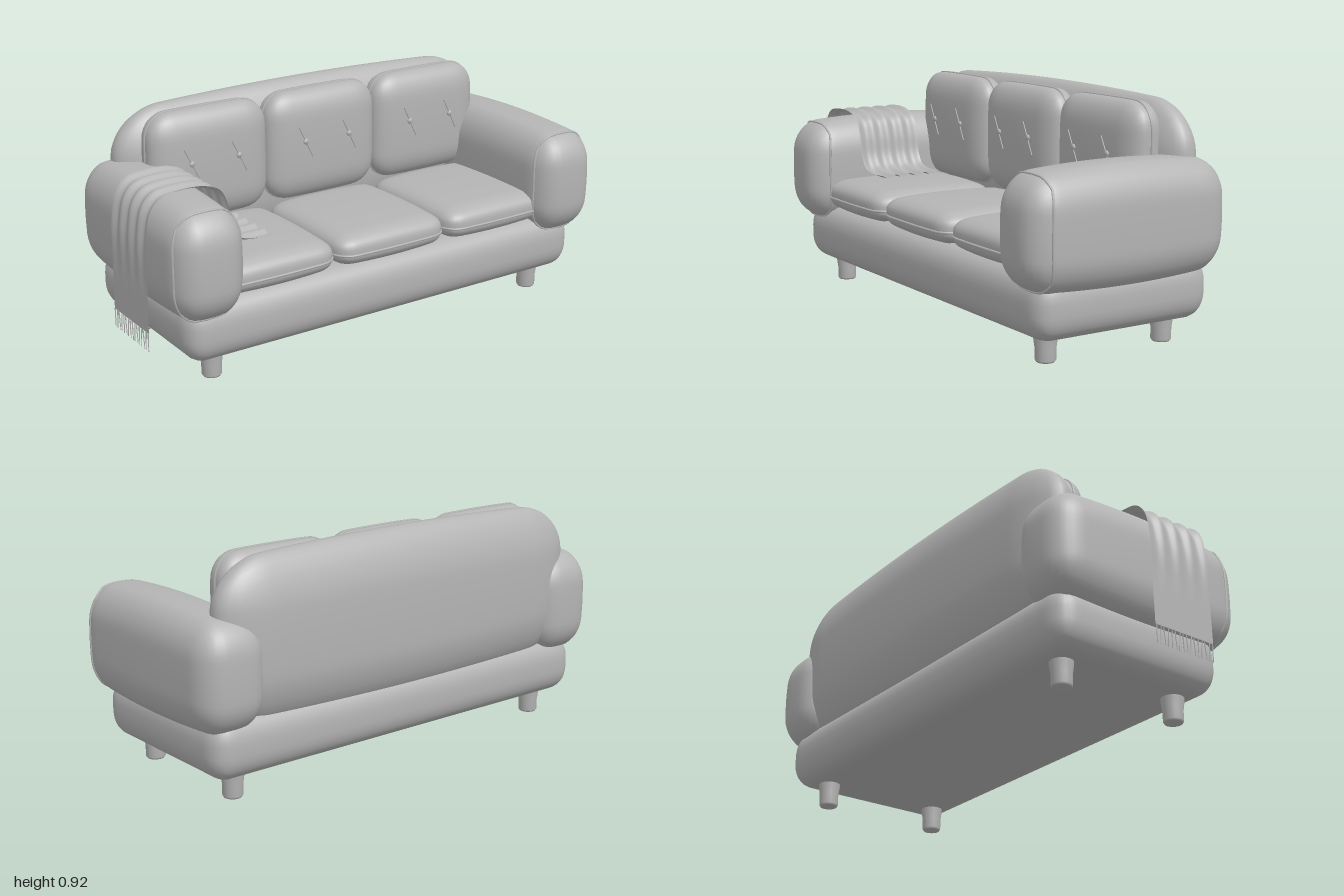
import * as THREE from 'three';
import { mergeVertices } from 'three/addons/utils/BufferGeometryUtils.js';

const V = (x, y, z) => new THREE.Vector3(x, y, z);

// Rule that turns a point on a box into a point on a rounded, puffed pillow.
// half = half sizes, radius = corner radius per axis, bulge = how much each axis thins outwards
function softPoint(p, { half, radius, bulge }) {
  const core = V(), d = V();
  for (const a of ['x', 'y', 'z']) {
    const limit = half[a] - radius[a];
    core[a] = THREE.MathUtils.clamp(p[a], -limit, limit);
    d[a] = (p[a] - core[a]) / radius[a];
  }
  const len = d.length();
  if (len > 1e-6) core.add(d.divideScalar(len).multiply(radius));
  const u = (core.x / half.x) ** 2, v = (core.y / half.y) ** 2, w = (core.z / half.z) ** 2;
  return V(
    core.x * (1 - bulge.x * (v + w) / 2),
    core.y * (1 - bulge.y * (u + w) / 2),
    core.z * (1 - bulge.z * (u + v) / 2)
  );
}

function softGeometry(form) {
  const { half } = form;
  const segs = (h) => Math.max(10, Math.round(h * 2 / 0.026));
  let g = new THREE.BoxGeometry(half.x * 2, half.y * 2, half.z * 2, segs(half.x), segs(half.y), segs(half.z));
  g.deleteAttribute('uv');
  g.deleteAttribute('normal');
  g = mergeVertices(g, 1e-5);
  const pos = g.attributes.position, p = V();
  for (let i = 0; i < pos.count; i++) {
    const q = softPoint(p.fromBufferAttribute(pos, i), form);
    pos.setXYZ(i, q.x, q.y, q.z);
  }
  g.computeVertexNormals();
  return g;
}

// Piping that follows the pillow surface where it meets a plane across the given axis
function pipingGeometry(form, axis, at, thickness) {
  const [a, b] = ['x', 'y', 'z'].filter((k) => k !== axis);
  const corners = [[-1, -1], [1, -1], [1, 1], [-1, 1]];
  const pts = [], n = 14;
  corners.forEach((c, k) => {
    const e = corners[(k + 1) % 4];
    for (let i = 0; i < n; i++) {
      const p = V();
      p[axis] = at;
      p[a] = THREE.MathUtils.lerp(c[0], e[0], i / n) * form.half[a];
      p[b] = THREE.MathUtils.lerp(c[1], e[1], i / n) * form.half[b];
      pts.push(softPoint(p, form));
    }
  });
  return new THREE.TubeGeometry(new THREE.CatmullRomCurve3(pts, true), 112, thickness, 6, true);
}

export function createModel() {
  const model = new THREE.Group();
  model.name = 'sofa';
  const fabric = new THREE.MeshStandardMaterial({ color: 0xb4b4b4, side: THREE.DoubleSide });
  fabric.name = 'grey';

  const add = (name, geometry, parent, x = 0, y = 0, z = 0) => {
    const m = new THREE.Mesh(geometry, fabric);
    m.name = name;
    m.position.set(x, y, z);
    parent.add(m);
    return m;
  };

  // Sofa body sits slightly to one side because the throw overhangs the other
  const body = new THREE.Group();
  body.name = 'sofaBody';
  body.position.x = 0.018;
  model.add(body);

  // Base
  add('base', softGeometry({
    half: V(0.915, 0.12, 0.385), radius: V(0.08, 0.1, 0.08), bulge: V(0, 0, 0),
  }), body, 0, 0.217, -0.013);

  // Legs
  const legProfile = [[0, 0], [0.034, 0], [0.039, 0.008], [0.039, 0.05], [0.044, 0.085], [0.046, 0.12]]
    .map(([r, y]) => new THREE.Vector2(r, y));
  const legShape = new THREE.LatheGeometry(legProfile, 20);
  for (const x of [-0.77, 0.77]) for (const z of [0.25, -0.276]) add('leg', legShape, body, x, 0, z);

  // Backrest with an arched outline
  add('backrest', softGeometry({
    half: V(0.868, 0.325, 0.115), radius: V(0.2, 0.19, 0.1), bulge: V(0.04, 0.16, 0.3),
  }), body, 0, 0.593, -0.317);

  // Arms with piping around the front panel
  const arm = { half: V(0.148, 0.226, 0.44), radius: V(0.09, 0.13, 0.1), bulge: V(0.1, 0.18, 0.06) };
  const armShape = softGeometry(arm);
  const armPiping = pipingGeometry(arm, 'z', 0.372, 0.005);
  for (const side of [-1, 1]) {
    const group = new THREE.Group();
    group.name = side > 0 ? 'leftArm' : 'rightArm';
    group.position.set(side * 0.832, 0.49, 0);
    add('armBody', armShape, group);
    add('armPiping', armPiping, group);
    body.add(group);
  }

  // Seat and back cushions
  const seat = { half: V(0.259, 0.074, 0.285), radius: V(0.07, 0.055, 0.07), bulge: V(0.04, 0.25, 0.04) };
  const back = { half: V(0.261, 0.225, 0.087), radius: V(0.1, 0.1, 0.065), bulge: V(0.02, 0.03, 0.22) };
  const seatShape = softGeometry(seat), seatPiping = pipingGeometry(seat, 'y', -0.012, 0.005);
  const backShape = softGeometry(back), backPiping = pipingGeometry(back, 'z', 0, 0.005);
  const button = new THREE.SphereGeometry(0.012, 14, 10);
  const crease = new THREE.CylinderGeometry(0.0025, 0.0025, 0.145, 6);
  for (const i of [-1, 0, 1]) {
    const x = i * 0.52;
    add('seatCushion', seatShape, body, x, 0.392, 0.077);
    add('seatPiping', seatPiping, body, x, 0.392, 0.077);
    add('backCushion', backShape, body, x, 0.675, -0.207);
    add('backPiping', backPiping, body, x, 0.675, -0.207);
    // Tufting buttons with slanted creases
    for (const s of [-1, 1]) {
      add('button', button, body, x + s * 0.105, 0.7, -0.12).scale.z = 0.6;
      const c = add('buttonCrease', crease, body, x + s * 0.105, 0.698, -0.118);
      c.rotation.z = 0.46;
    }
  }

  // Throw blanket draped over the right arm onto the seat
  const path = new THREE.CatmullRomCurve3([
    [-0.994, 0.22], [-0.991, 0.4], [-0.983, 0.58], [-0.96, 0.68], [-0.92, 0.723], [-0.85, 0.736], [-0.75, 0.733],
    [-0.685, 0.705], [-0.655, 0.64], [-0.635, 0.55], [-0.605, 0.505], [-0.55, 0.489], [-0.46, 0.488],
  ].map(([x, y]) => V(x, y, 0)));
  const width = 0.28, zMid = 0.09;
  const throwShape = new THREE.PlaneGeometry(1, width, 70, 48);
  const pos = throwShape.attributes.position;
  for (let i = 0; i < pos.count; i++) {
    const t = THREE.MathUtils.clamp(pos.getX(i) + 0.5, 0, 1), z = pos.getY(i);
    const p = path.getPointAt(t), tan = path.getTangentAt(t);
    const wave = 0.007 * THREE.MathUtils.smoothstep(t, 0.1, 0.45) * Math.cos((z / width) * Math.PI * 8);
    pos.setXYZ(i, p.x - tan.y * wave, p.y + tan.x * wave, -z);
  }
  throwShape.computeVertexNormals();
  add('throwBlanket', throwShape, model, 0, 0, zMid);

  // Fringe
  const strand = new THREE.CylinderGeometry(0.0025, 0.0015, 0.075, 5);
  for (let i = 0; i < 16; i++) {
    const s = add('fringe', strand, model, -0.995, 0.185, zMid + (i / 15 - 0.5) * (width - 0.01));
    s.rotation.x = 0.12 * Math.sin(i * 2.3);
  }
  return model;
}
